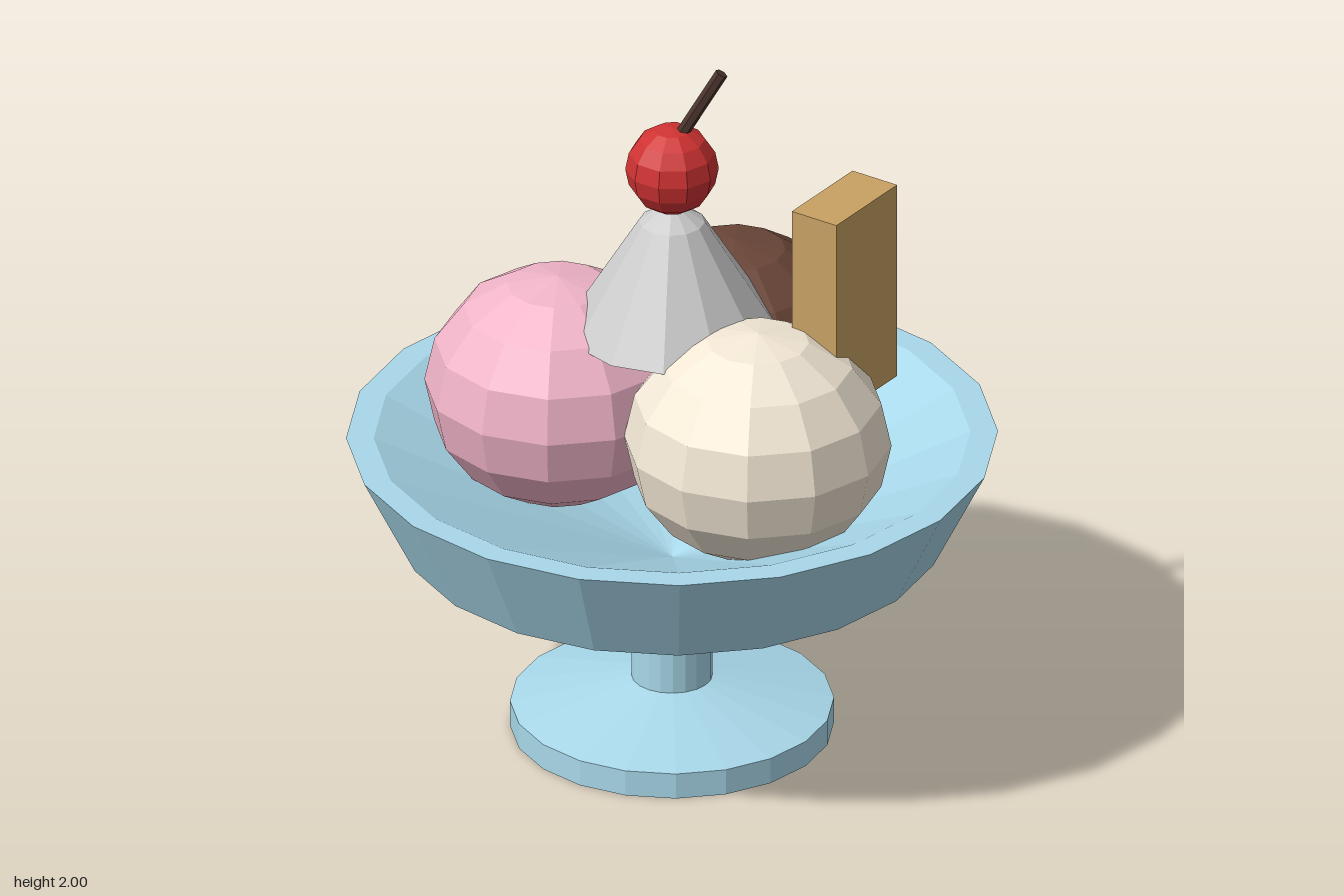
import * as THREE from 'three';

const paint = (color) => new THREE.MeshStandardMaterial({ color, flatShading: true });

export function createModel() {
  const model = new THREE.Group();

  const add = (name, geometry, color, x = 0, y = 0, z = 0) => {
    const mesh = new THREE.Mesh(geometry, paint(color));
    mesh.name = name;
    mesh.position.set(x, y, z);
    model.add(mesh);
    return mesh;
  };
  const lathe = (points, sides) =>
    new THREE.LatheGeometry(points.map(([r, y]) => new THREE.Vector2(r, y)), sides);

  // Footed dish: foot, stem, outer bowl, flat rim, then the hollow
  add('dish', lathe([
    [0, 0], [0.44, 0], [0.44, 0.075], [0.11, 0.15], [0.11, 0.445],
    [0.74, 0.595], [0.885, 0.885], [0.81, 0.885], [0, 0.51],
  ], 20), 0xa8d8ea);

  // Three slightly flattened scoops
  const scoops = [
    ['strawberryScoop', 0xf0b4c8, -0.3, 0.11, 0.33],
    ['vanillaScoop', 0xf3e8d6, 0.335, 0.075, 0.33],
    ['chocolateScoop', 0x6b4639, 0, -0.298, 0.358],
  ];
  for (const [name, color, x, z, height] of scoops) {
    const scoop = add(name, new THREE.SphereGeometry(0.364, 12, 8), color, x, 0.998, z);
    scoop.scale.y = height / 0.364;
  }

  // Whipped cream peak
  add('whippedCream', lathe([[0, 1.22], [0.29, 1.22], [0.09, 1.54], [0, 1.6]], 12), 0xcccccc);

  // Cherry with a leaning stalk
  add('cherry', new THREE.SphereGeometry(0.127, 10, 8), 0xd03232, 0, 1.7, 0);
  const from = new THREE.Vector3(0.015, 1.79, -0.005);
  const to = new THREE.Vector3(0.112, 1.992, -0.075);
  const lean = to.clone().sub(from);
  const stalk = add('cherryStalk', new THREE.CylinderGeometry(0.018, 0.018, lean.length(), 6), 0x4a332d);
  stalk.position.copy(from).add(to).multiplyScalar(0.5);
  stalk.quaternion.setFromUnitVectors(new THREE.Vector3(0, 1, 0), lean.normalize());

  // Upright wafer
  add('wafer', new THREE.BoxGeometry(0.147, 0.585, 0.29), 0xc8a264, 0.441, 1.368, -0.185);

  return model;
}
